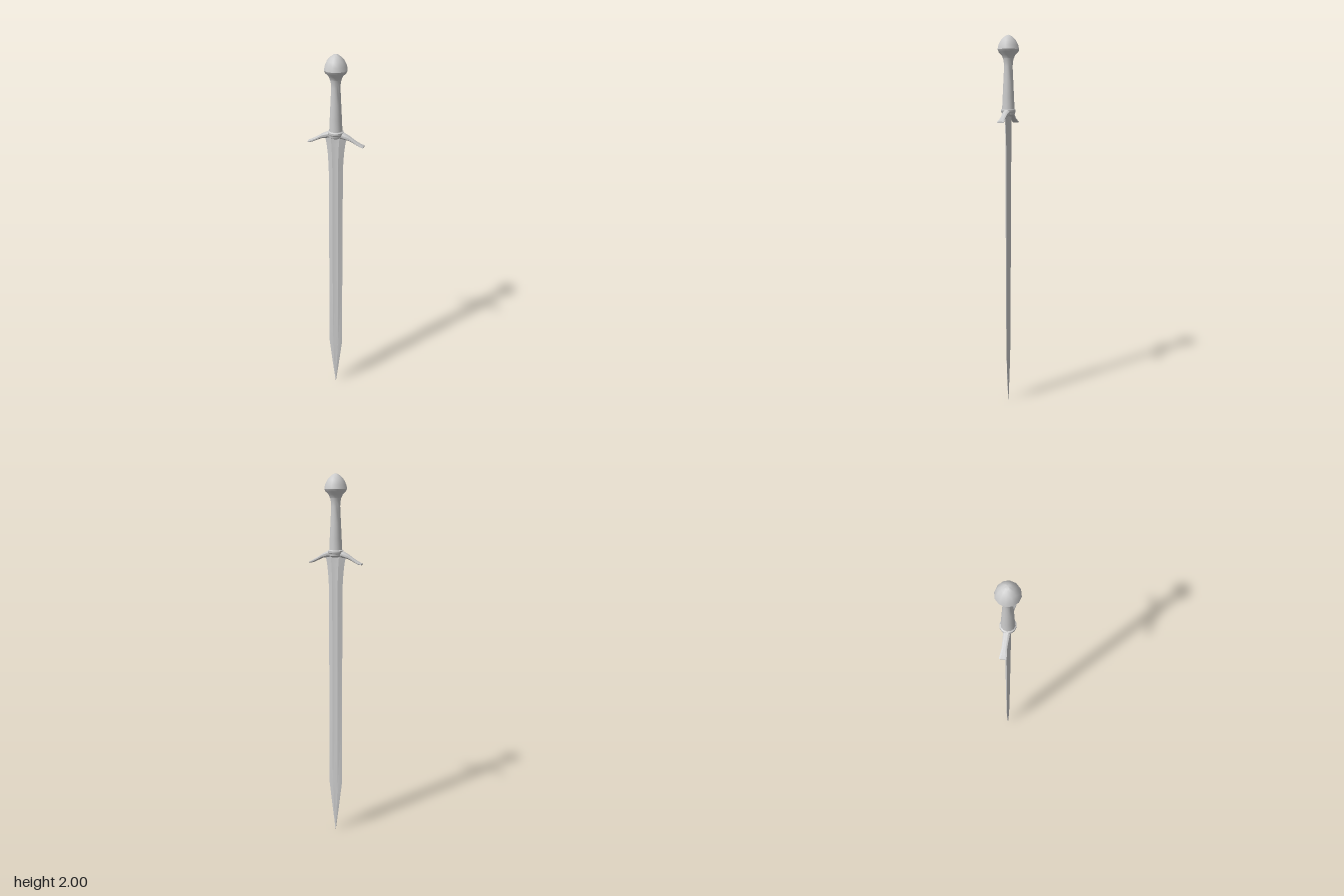
import * as THREE from 'three';
import { toCreasedNormals } from 'three/addons/utils/BufferGeometryUtils.js';

const steel = new THREE.MeshStandardMaterial({ color: 0xcccccc });

// Skin a row of equal-sized rings of [x, y, z] points and close both ends.
function loft(rings, crease) {
  const n = rings[0].length, last = rings.length - 1;
  const points = rings.flat(), index = [];
  for (let i = 0; i < last; i++) {
    for (let j = 0; j < n; j++) {
      const a = i * n + j, b = i * n + (j + 1) % n;
      index.push(a, a + n, b, b, a + n, b + n);
    }
  }
  for (let j = 1; j < n - 1; j++) {
    index.push(0, j, j + 1, last * n, last * n + j + 1, last * n + j);
  }
  const geometry = new THREE.BufferGeometry();
  geometry.setAttribute('position', new THREE.Float32BufferAttribute(points.flat(), 3));
  geometry.setIndex(index);
  return toCreasedNormals(geometry, crease);
}

// Round part from [radius, y] pairs, listed bottom to top.
function turned(profile, crease = 0.6) {
  const points = profile.map(([r, y]) => new THREE.Vector2(r, y));
  return toCreasedNormals(new THREE.LatheGeometry(points, 12), crease);
}

export function createModel() {
  const sword = new THREE.Group();
  sword.name = 'sword';
  const add = (name, geometry) => {
    const mesh = new THREE.Mesh(geometry, steel);
    mesh.name = name;
    sword.add(mesh);
  };

  // Blade: [y, half width, half thickness], thin edges and a shallow central hollow
  const bladeSections = [
    [0, 0.001, 0.001], [0.14, 0.019, 0.005], [0.3, 0.038, 0.007], [0.7, 0.038, 0.009],
    [1.1, 0.038, 0.011], [1.42, 0.038, 0.012], [1.5, 0.043, 0.012], [1.55, 0.049, 0.012],
    [1.59, 0.057, 0.012],
  ];
  add('blade', loft(bladeSections.map(([y, w, t]) => [
    [w, y, 0], [w * 0.4, y, t], [0, y, t * 0.8], [-w * 0.4, y, t],
    [-w, y, 0], [-w * 0.4, y, -t], [0, y, -t * 0.8], [w * 0.4, y, -t],
  ]), 0.4));

  // Crossguard: [x, top, bottom, half depth] for one arm, mirrored to the other
  const arm = [
    [0, 1.62, 1.58, 0.02], [0.035, 1.617, 1.583, 0.017], [0.07, 1.6, 1.577, 0.014],
    [0.1, 1.58, 1.563, 0.013], [0.125, 1.566, 1.551, 0.016], [0.145, 1.556, 1.549, 0.018],
  ];
  const mirrored = arm.slice(1).reverse().map(([x, ...rest]) => [-x, ...rest]);
  add('crossguard', loft([...mirrored, ...arm].map(([x, top, bottom, depth]) =>
    Array.from({ length: 8 }, (_, i) => {
      const a = (i + 0.5) * Math.PI / 4;
      const y = (top + bottom) / 2 + Math.cos(a) * (top - bottom) / 2 / Math.cos(Math.PI / 8);
      return [x, y, -Math.sin(a) * depth / Math.cos(Math.PI / 8)];
    })), 0.8));

  // Collar joining the guard and the grip
  add('collar', turned([[0, 1.58], [0.02, 1.583], [0.035, 1.592], [0.036, 1.602], [0.04, 1.607],
    [0.04, 1.617], [0.033, 1.622], [0, 1.622]]));

  // Grip, tapering towards the pommel
  add('grip', turned([[0.034, 1.615], [0.031, 1.68], [0.027, 1.76], [0.023, 1.84], [0.025, 1.865],
    [0.031, 1.89]], 0.9));

  // Pommel: flared underside and domed, pointed cap
  add('pommel', turned([[0.029, 1.88], [0.036, 1.897], [0.052, 1.912], [0.058, 1.925], [0.054, 1.945],
    [0.043, 1.968], [0.028, 1.985], [0.013, 1.996], [0, 2]]));

  return sword;
}
